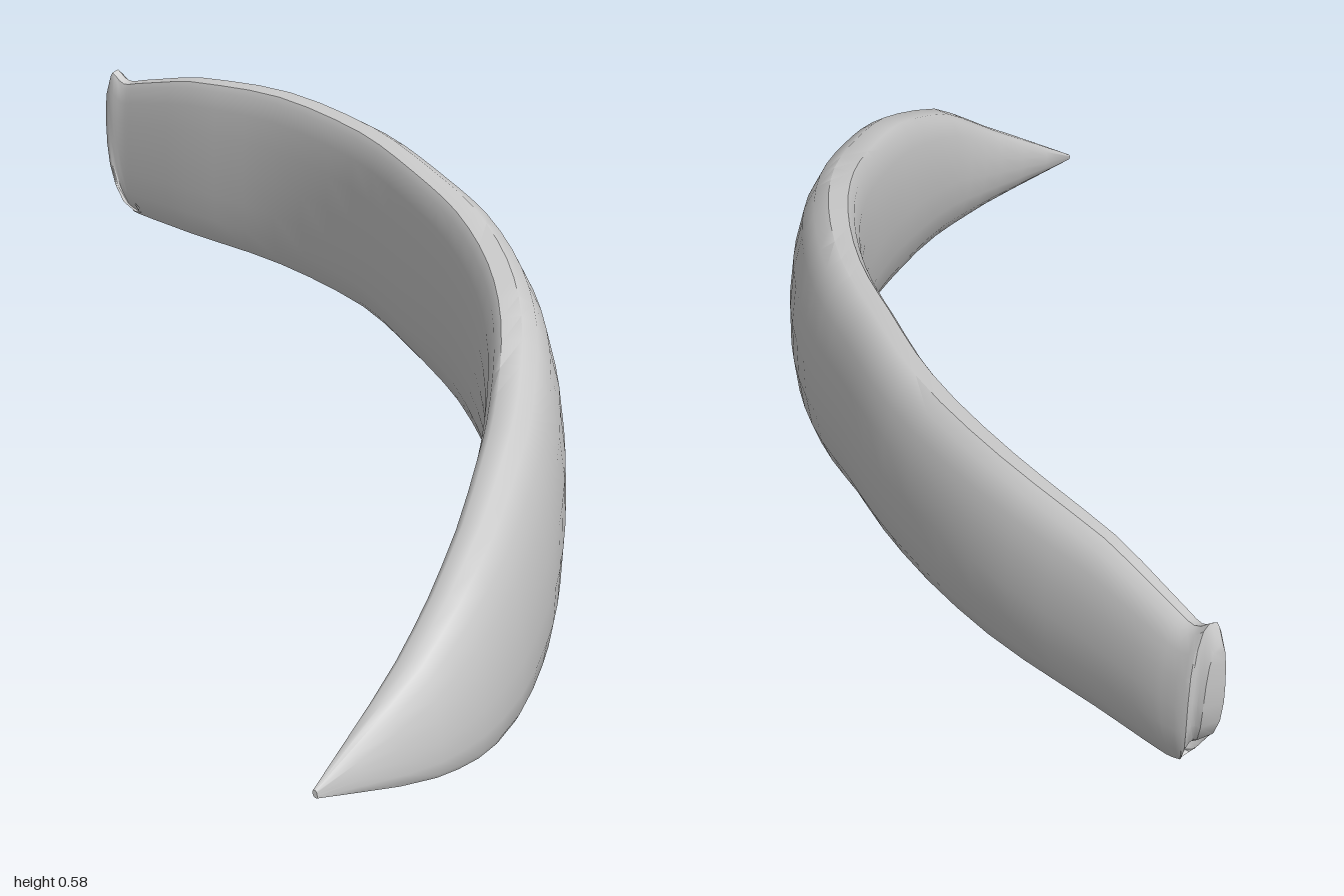
import * as THREE from 'three';
import { toCreasedNormals } from 'three/addons/utils/BufferGeometryUtils.js';

// Stations from the pointed tip to the blunt end:
// [inner x, inner z, top y, bottom y, thickness, outward lean of the lower rim]
const stations = [
  [0.365, 0.99, 0.042, 0.03, 0.008, 0.5],
  [0.428, 0.8, 0.18, 0.005, 0.085, 0.5],
  [0.458, 0.66, 0.285, 0.002, 0.108, 0.5],
  [0.457, 0.45, 0.38, 0.025, 0.125, 0.45],
  [0.44, 0.3, 0.425, 0.055, 0.13, 0.4],
  [0.4, 0.11, 0.48, 0.1, 0.13, 0.35],
  [0.34, -0.06, 0.515, 0.14, 0.125, 0.28],
  [0.245, -0.24, 0.542, 0.185, 0.12, 0.2],
  [0.135, -0.39, 0.56, 0.218, 0.113, 0.12],
  [0.0, -0.555, 0.574, 0.245, 0.108, 0.08],
  [-0.19, -0.72, 0.58, 0.257, 0.1, 0.04],
  [-0.39, -0.845, 0.562, 0.263, 0.086, 0],
  [-0.52, -0.932, 0.527, 0.268, 0.068, 0],
  [-0.55, -0.952, 0.519, 0.272, 0.06, 0],
  [-0.576, -0.966, 0.536, 0.275, 0.052, 0],
  [-0.587, -0.976, 0.5, 0.29, 0.035, 0],
];

const STEPS = 45; // sections along the length
const SIDE = 9; // points on each face of a section

function shellGeometry() {
  const curve = (f) => new THREE.CatmullRomCurve3(stations.map(f));
  const path = curve((s) => new THREE.Vector3(s[0], 0, s[1]));
  const heights = curve((s) => new THREE.Vector3(s[2], s[3], 0));
  const widths = curve((s) => new THREE.Vector3(s[4], s[5], 0));
  const ring = SIDE * 2;
  const positions = [];
  const index = [];

  for (let i = 0; i <= STEPS; i++) {
    const t = i / STEPS;
    const p = path.getPoint(t);
    const tangent = path.getTangent(t);
    const normal = new THREE.Vector3(-tangent.z, 0, tangent.x);
    const { x: top, y: bottom } = heights.getPoint(t);
    const { x: thick, y: lean } = widths.getPoint(t);
    const slant = 0.1 * THREE.MathUtils.smoothstep(t, 0.8, 1);

    // section: bulged outer face downward, narrow rims, gently swelling inner face back up
    for (let j = 0; j < ring; j++) {
      const outer = j < SIDE;
      const s = (outer ? j : ring - 1 - j) / (SIDE - 1);
      const bulge = Math.sin(Math.PI * s);
      const u = outer
        ? 0.45 + lean * s + (0.55 - lean / 2) * bulge
        : 0.2 + lean * s - (0.16 + lean / 2) * bulge;
      const inset = outer ? 0 : 0.015;
      const v = 0.5 + (0.5 - inset) * Math.cos(Math.PI * s);
      const q = p.clone()
        .addScaledVector(normal, u * thick)
        .addScaledVector(tangent, -slant * s ** 4);
      positions.push(q.x, bottom + (top - bottom) * v, q.z);
    }
  }

  for (let i = 0; i < STEPS; i++) {
    for (let j = 0; j < ring; j++) {
      const a = i * ring + j;
      const b = i * ring + ((j + 1) % ring);
      index.push(a, b, b + ring, a, b + ring, a + ring);
    }
  }

  // caps over the tip and the blunt end
  const end = STEPS * ring;
  for (let j = 0; j < SIDE - 1; j++) {
    const [a, b, c, d] = [j, j + 1, ring - 2 - j, ring - 1 - j];
    index.push(a, c, b, a, d, c);
    index.push(end + a, end + b, end + c, end + a, end + c, end + d);
  }

  const geometry = new THREE.BufferGeometry();
  geometry.setAttribute('position', new THREE.Float32BufferAttribute(positions, 3));
  geometry.setIndex(index);
  return toCreasedNormals(geometry, 0.7);
}

export function createModel() {
  const group = new THREE.Group();
  group.name = 'curvedShell';
  const shell = new THREE.Mesh(
    shellGeometry(),
    new THREE.MeshStandardMaterial({ color: 0xcccccc })
  );
  shell.name = 'shell';
  group.add(shell);
  return group;
}
